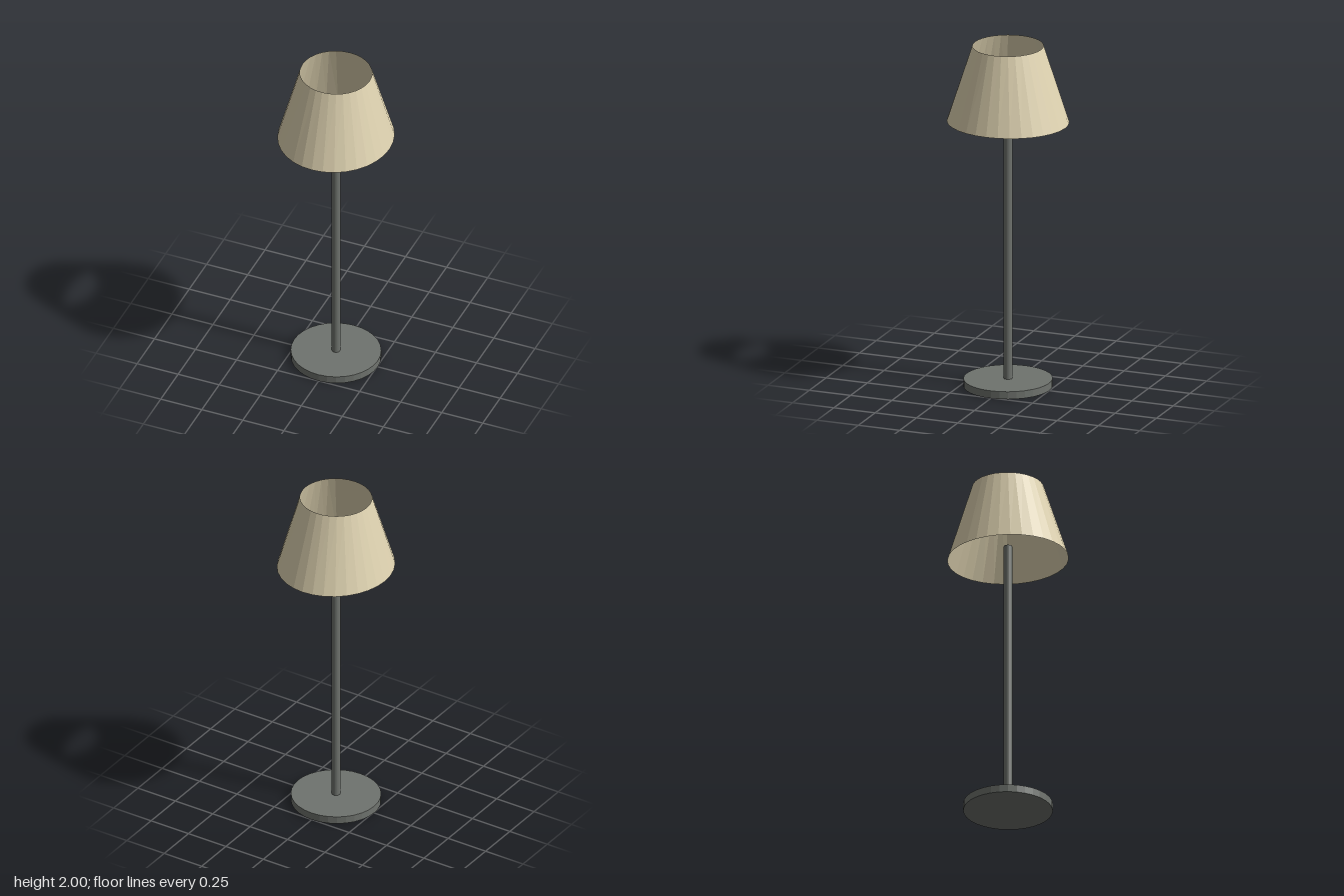
import * as THREE from 'three';

const SIDES = 32;

export function createModel() {
  const lamp = new THREE.Group();
  lamp.name = 'tableLamp';

  const metal = new THREE.MeshStandardMaterial({ color: 0x6f736e, flatShading: true });
  metal.name = 'grey metal';
  const fabric = new THREE.MeshStandardMaterial({ color: 0xdfd3b1, flatShading: true, side: THREE.DoubleSide });
  fabric.name = 'cream fabric';

  // Upright elliptical tube or disc from y0 to y1, with [x, z] radii at each end
  function column(name, material, y0, y1, bottom, top, open = false) {
    const geometry = new THREE.CylinderGeometry(1, 1, y1 - y0, SIDES, 1, open);
    const p = geometry.attributes.position;
    for (let i = 0; i < p.count; i++) {
      const [rx, rz] = p.getY(i) > 0 ? top : bottom;
      p.setX(i, p.getX(i) * rx);
      p.setZ(i, p.getZ(i) * rz);
    }
    geometry.computeVertexNormals();
    const mesh = new THREE.Mesh(geometry, material);
    mesh.name = name;
    mesh.position.y = (y0 + y1) / 2;
    lamp.add(mesh);
  }

  column('base', metal, 0, 0.044, [0.255, 0.25], [0.255, 0.25]);
  column('pole', metal, 0.044, 1.635, [0.024, 0.024], [0.024, 0.024]);
  // Open shade, its lower rim slightly deeper than wide
  column('shade', fabric, 1.555, 2, [0.326, 0.347], [0.204, 0.2], true);

  return lamp;
}
